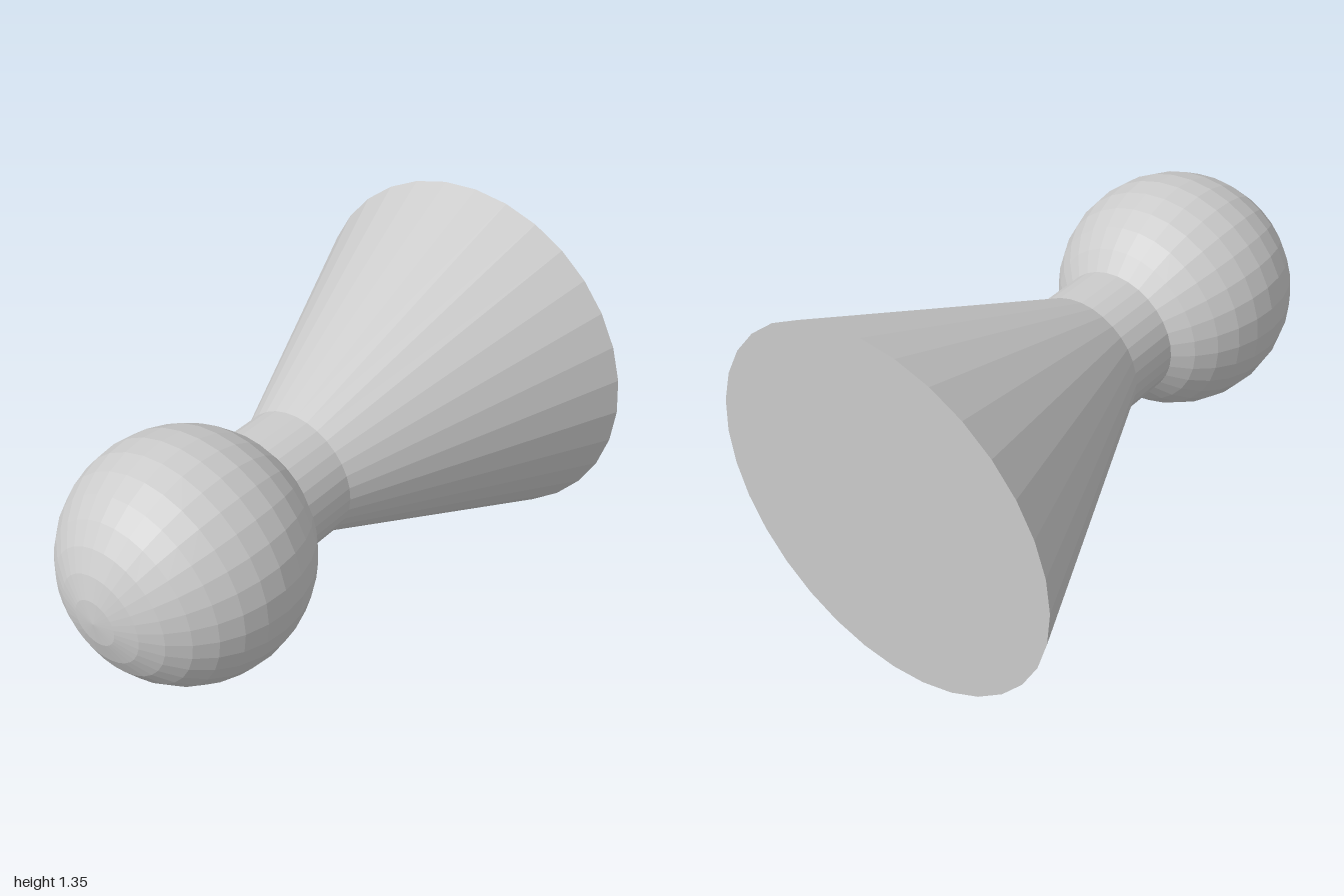
import * as THREE from 'three';

const SIDES = 32;
const AXIS_Y = 0.675;

export function createModel() {
  const group = new THREE.Group();
  const material = new THREE.MeshStandardMaterial({ color: 0xcccccc, flatShading: true });

  // Lays a y-axis geometry along z and centres it at the given depth
  const addPart = (name, geometry, z) => {
    geometry.rotateX(Math.PI / 2);
    const mesh = new THREE.Mesh(geometry, material);
    mesh.name = name;
    mesh.position.set(0, AXIS_Y, z);
    group.add(mesh);
  };

  const neckRadius = 0.237;
  const neckBack = 0.015;
  const neckFront = 0.22;

  // Ball at the front, poles on the long axis
  addPart('ball', new THREE.SphereGeometry(0.427, SIDES, 16), 0.573);

  // Short straight neck joining ball and cone
  addPart('neck',
    new THREE.CylinderGeometry(neckRadius, neckRadius, neckFront - neckBack, SIDES, 1, true),
    (neckFront + neckBack) / 2);

  // Flared cone with a closed flat back
  addPart('flaredBase',
    new THREE.CylinderGeometry(neckRadius, 0.675, 1 + neckBack, SIDES),
    (neckBack - 1) / 2);

  return group;
}
